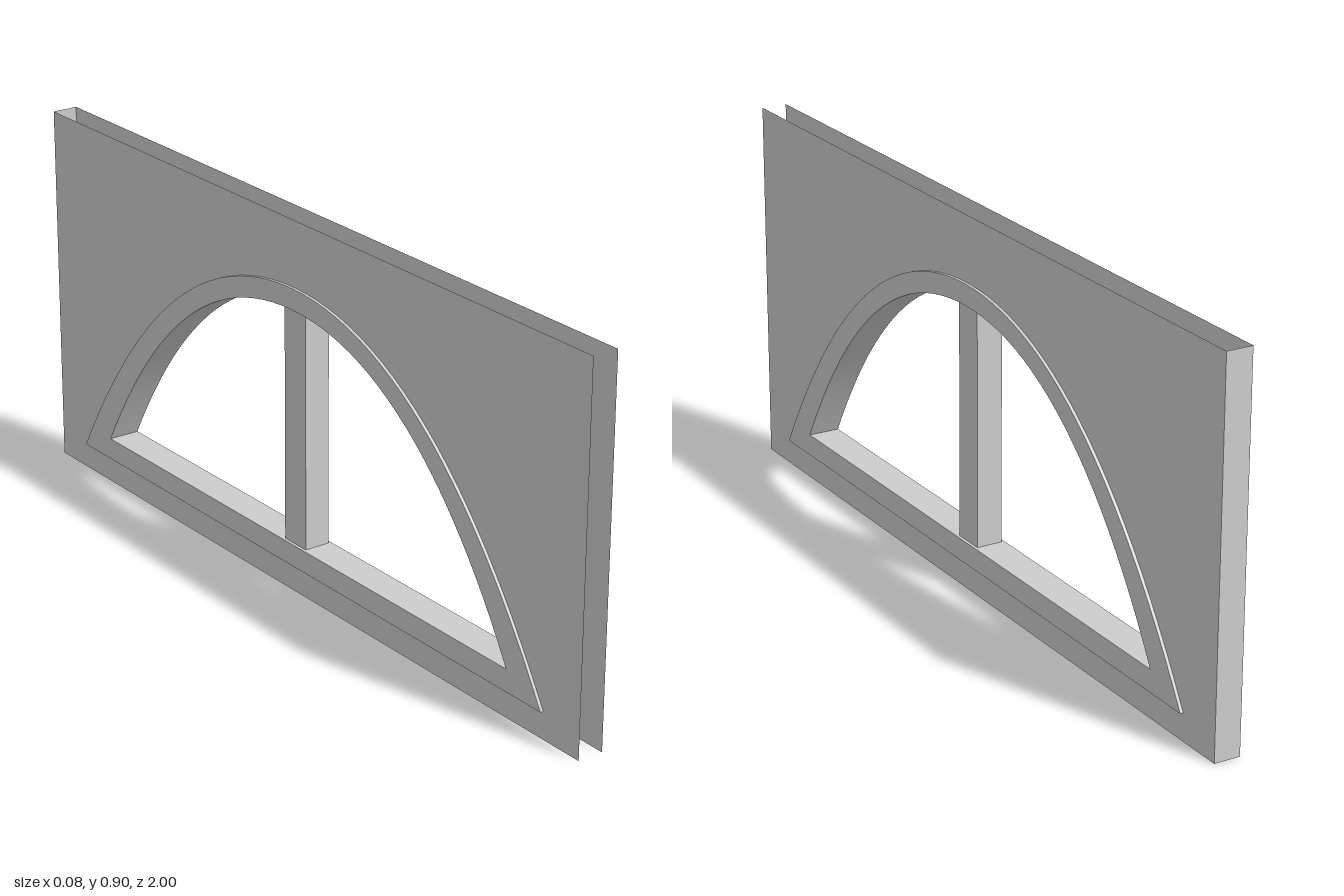
import * as THREE from 'three';

const HALF = 0.032;    // half thickness of the wall
const TRIM = 0.0075;   // how far the trim stands proud
const HEIGHT = 0.904;
const SEG = 24;

// Pointed-foot arch: flat base, two mirrored curves meeting at a level crown
function traceArch(path, halfWidth, base, crown, ctrl) {
  path.moveTo(-halfWidth, base);
  path.lineTo(halfWidth, base);
  path.quadraticCurveTo(ctrl, crown, 0, crown);
  path.quadraticCurveTo(-ctrl, crown, -halfWidth, base);
  return path;
}
const opening = (path) => traceArch(path, 0.768, 0.12, 0.695, 0.45);
const trimEdge = (path) => traceArch(path, 0.883, 0.066, 0.746, 0.5);

export function createModel() {
  const group = new THREE.Group();
  const plaster = new THREE.MeshStandardMaterial({ color: 0xcccccc, side: THREE.DoubleSide });
  plaster.name = 'light grey plaster';

  const add = (name, geometry) => {
    const mesh = new THREE.Mesh(geometry, plaster);
    mesh.name = name;
    group.add(mesh);
    return mesh;
  };

  // Wall outline and raised trim outline, both pierced by the opening
  const wall = new THREE.Shape([
    new THREE.Vector2(-1, 0), new THREE.Vector2(1, 0),
    new THREE.Vector2(1, HEIGHT), new THREE.Vector2(-1, HEIGHT),
  ]);
  wall.holes.push(opening(new THREE.Path()));
  const trim = trimEdge(new THREE.Shape());
  trim.holes.push(opening(new THREE.Path()));

  // One wall skin and one trim on each side
  for (const side of [1, -1]) {
    const label = side > 0 ? 'left' : 'right';
    const skin = new THREE.ShapeGeometry(wall, SEG);
    skin.translate(0, 0, HALF);
    skin.rotateY(side * Math.PI / 2);
    add(label + 'WallSkin', skin);

    const band = new THREE.ExtrudeGeometry(trim, { depth: TRIM, bevelEnabled: false, curveSegments: SEG });
    band.translate(0, 0, HALF);
    band.rotateY(side * Math.PI / 2);
    add(label + 'ArchTrim', band);
  }

  // End cap at the back; the front end, top and bottom stay open
  const cap = new THREE.PlaneGeometry(HALF * 2, HEIGHT);
  cap.rotateY(Math.PI);
  cap.translate(0, HEIGHT / 2, -1);
  add('backEndCap', cap);

  // Curved reveal: a strip whose length is bent along the arch
  const arch = opening(new THREE.Path());
  const points = [...arch.curves[1].getPoints(SEG), ...arch.curves[2].getPoints(SEG).slice(1)];
  const reveal = new THREE.PlaneGeometry(1, HALF * 2, points.length - 1, 1);
  const pos = reveal.attributes.position;
  for (let i = 0; i < pos.count; i++) {
    const p = points[i % points.length];
    pos.setXYZ(i, pos.getY(i), p.y, p.x);
  }
  // Turn the faces toward the inside of the opening
  const index = reveal.index;
  for (let i = 0; i < index.count; i += 3) {
    const a = index.getX(i);
    index.setX(i, index.getX(i + 1));
    index.setX(i + 1, a);
  }
  reveal.computeVertexNormals();
  if (reveal.attributes.normal.getY(SEG) > 0) {
    for (let i = 0; i < index.count; i += 3) {
      const a = index.getX(i);
      index.setX(i, index.getX(i + 1));
      index.setX(i + 1, a);
    }
    reveal.computeVertexNormals();
  }
  add('archReveal', reveal);

  // Flat sill
  const sill = new THREE.PlaneGeometry(HALF * 2, 0.768 * 2);
  sill.rotateX(-Math.PI / 2);
  sill.translate(0, 0.12, 0);
  add('sill', sill);

  // Centre post dividing the opening
  const post = new THREE.BoxGeometry(HALF * 2, 0.575, 0.08);
  post.translate(0, 0.12 + 0.575 / 2, 0);
  add('centrePost', post);

  return group;
}
